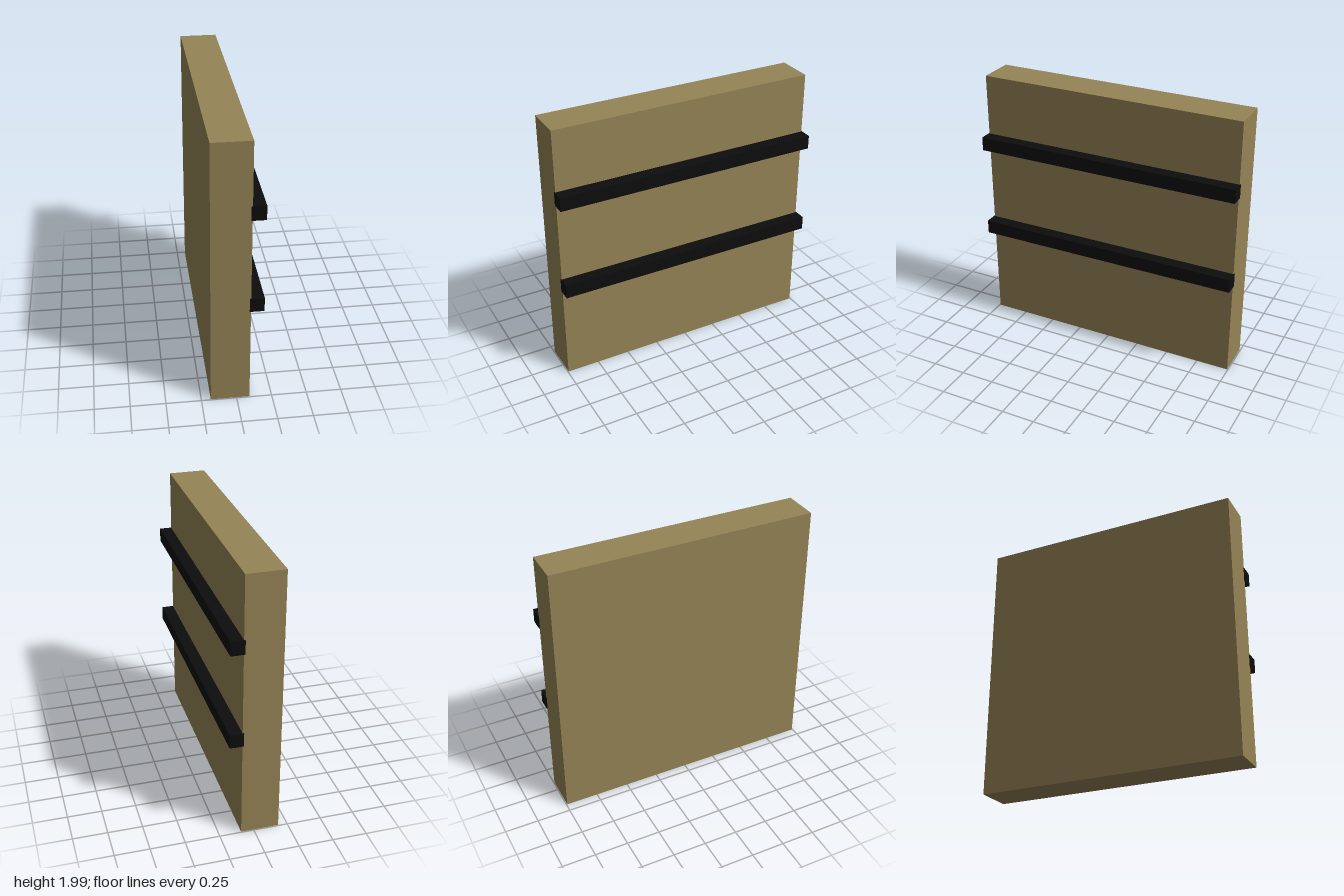
import * as THREE from 'three';

export function createModel() {
  const model = new THREE.Group();
  model.name = 'wallPanel';

  const wood = new THREE.MeshStandardMaterial({ name: 'tan wood', color: 0x968456 });
  const black = new THREE.MeshStandardMaterial({ name: 'black', color: 0x0d0d0d });

  function addBox(name, material, size, position) {
    const mesh = new THREE.Mesh(new THREE.BoxGeometry(...size), material);
    mesh.name = name;
    mesh.position.set(...position);
    model.add(mesh);
  }

  // Thick upright slab
  addBox('panel', wood, [0.275, 1.99, 1.988], [-0.0455, 0.995, 0]);

  // Two square rails along the left face, slightly sunk into the slab
  for (const [name, y] of [['lowerRail', 0.78], ['upperRail', 1.483]]) {
    addBox(name, black, [0.1, 0.103, 2], [0.133, y, 0]);
  }

  return model;
}
